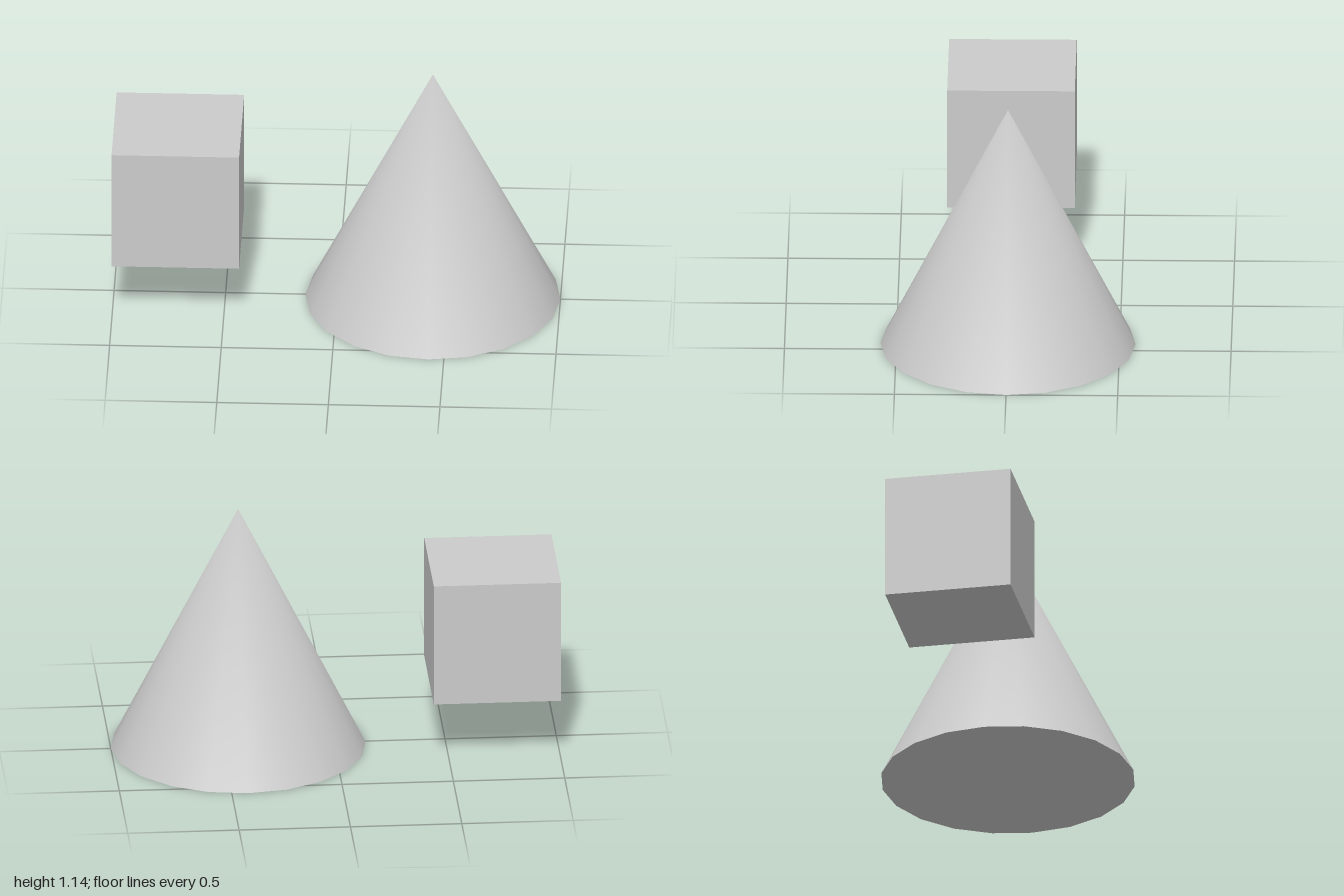
import * as THREE from 'three';
import { mergeVertices } from 'three/addons/utils/BufferGeometryUtils.js';

const UNIT = 4 / 7; // cube edge, also the cone radius
const SIDES = 20;

export function createModel() {
  const model = new THREE.Group();
  const material = new THREE.MeshStandardMaterial({ color: 0xcccccc });

  const add = (name, geometry, x, y) => {
    const mesh = new THREE.Mesh(geometry, material);
    mesh.name = name;
    mesh.position.set(x, y, 0);
    model.add(mesh);
  };

  // Floating cube
  add('cube', new THREE.BoxGeometry(UNIT, UNIT, UNIT), -1 + UNIT / 2, UNIT);

  // Cone side, smooth all round with one shared apex
  let side = new THREE.ConeGeometry(UNIT, 2 * UNIT, SIDES, 1, true);
  side.deleteAttribute('uv');
  side.deleteAttribute('normal');
  side = mergeVertices(side);
  side.computeVertexNormals();
  add('coneSide', side, 1 - UNIT, UNIT);

  // Flat cone base, facing down
  add('coneBase', new THREE.CircleGeometry(UNIT, SIDES).rotateX(Math.PI / 2), 1 - UNIT, 0);

  return model;
}
